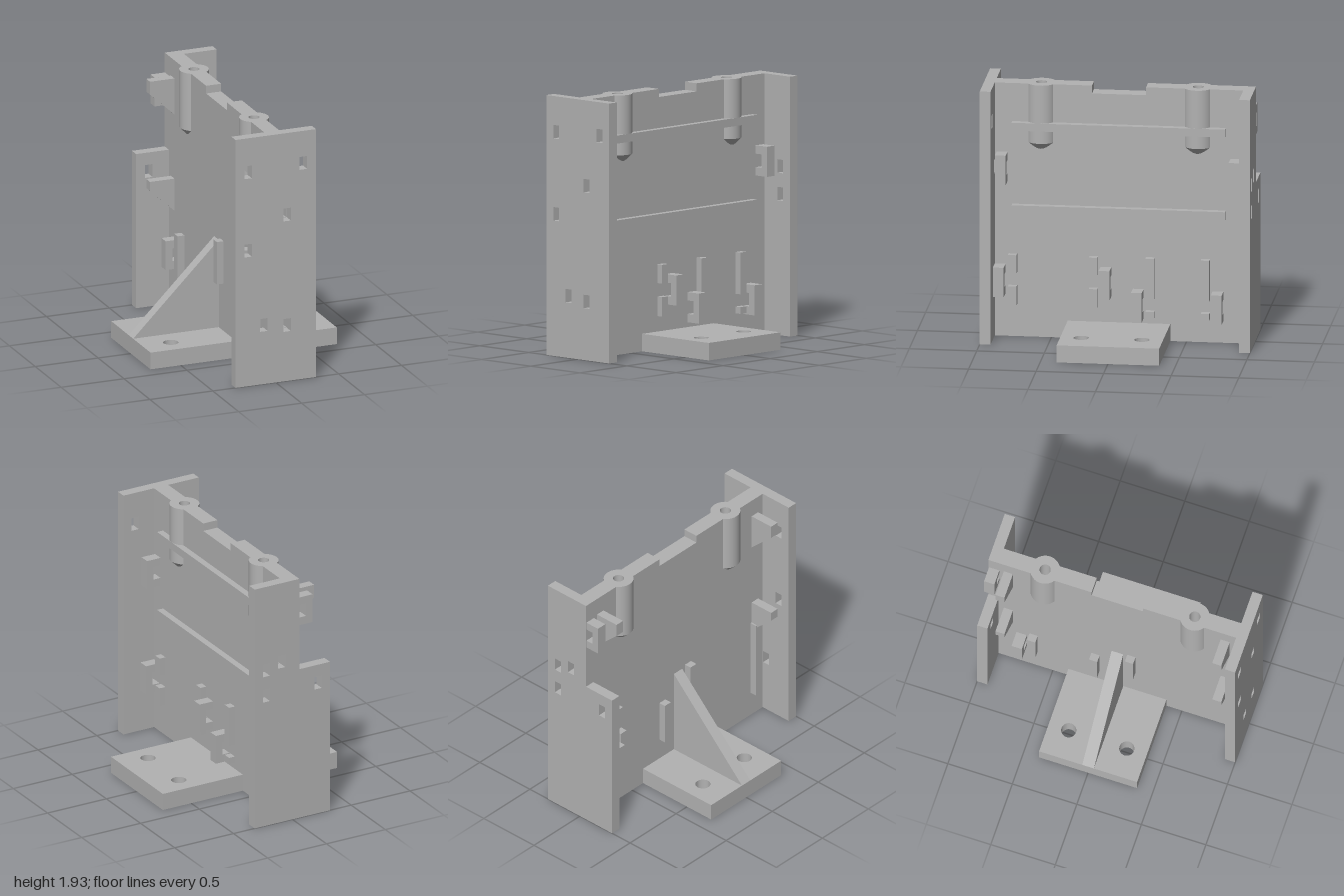
import * as THREE from 'three';

export function createModel() {
  const model = new THREE.Group();
  const grey = new THREE.MeshStandardMaterial({ color: 0xb2b2b2 });
  grey.name = 'plain grey';

  const add = (name, geometry) => {
    const mesh = new THREE.Mesh(geometry, grey);
    mesh.name = name;
    model.add(mesh);
    return mesh;
  };
  const block = (name, x0, x1, y0, y1, z0, z1) =>
    add(name, new THREE.BoxGeometry(x1 - x0, y1 - y0, z1 - z0)
      .translate((x0 + x1) / 2, (y0 + y1) / 2, (z0 + z1) / 2));
  const outline = (points) => new THREE.Shape(points.map(([x, y]) => new THREE.Vector2(x, y)));
  const extrude = (shape, depth) =>
    new THREE.ExtrudeGeometry(shape, { depth, bevelEnabled: false, curveSegments: 24 });
  // Prism with an x-y section, running from z0 to z1
  const prism = (name, shape, z0, z1) => add(name, extrude(shape, z1 - z0).translate(0, 0, z0));
  // Small rectangular window for cables
  const windowAt = (shape, x, y) => shape.holes.push(outline([
    [x - 0.03, y - 0.05], [x - 0.03, y + 0.05], [x + 0.03, y + 0.05], [x + 0.03, y - 0.05]]));

  // Web: z-y profile with top notch and slots for the two screw bosses
  const web = outline([
    [-0.93, 0], [0.93, 0], [0.93, 1.93], [0.67, 1.93], [0.67, 1.485], [0.49, 1.485], [0.49, 1.93],
    [0.2, 1.93], [0.2, 1.87], [-0.2, 1.87], [-0.2, 1.93], [-0.49, 1.93], [-0.49, 1.485],
    [-0.67, 1.485], [-0.67, 1.93], [-0.93, 1.93]]);
  add('web', extrude(web, 0.12).rotateY(-Math.PI / 2).translate(0.06, 0, 0));

  // Front flange
  const front = outline([[-0.32, 0], [0.32, 0], [0.32, 1.93], [-0.32, 1.93]]);
  [[-0.22, 1.665], [0.22, 1.68], [0.09, 1.295], [-0.22, 1.055], [-0.095, 0.46], [0.09, 0.435]]
    .forEach(([x, y]) => windowAt(front, x, y));
  prism('frontFlange', front, 0.92, 1);

  // Back flange, cut away above one side
  const back = outline([[-0.32, 0], [0.32, 0], [0.32, 1.93], [-0.06, 1.93], [-0.06, 1.2], [-0.32, 1.2]]);
  [[0.22, 1.255], [0.09, 1.295], [0.22, 1.05], [-0.22, 1.055]].forEach(([x, y]) => windowAt(back, x, y));
  prism('backFlange', back, -1, -0.92);

  // Base plate with four screw holes
  const base = outline([[-0.74, -0.38], [0.74, -0.38], [0.74, 0.38], [-0.74, 0.38]]);
  for (const x of [-0.515, 0.515]) for (const z of [-0.225, 0.225]) {
    base.holes.push(new THREE.Path().absarc(x, z, 0.056, 0, Math.PI * 2, true));
  }
  add('basePlate', extrude(base, 0.13).rotateX(-Math.PI / 2));

  // Triangular brace
  prism('gusset', outline([[-0.74, 0.13], [-0.05, 0.13], [-0.05, 0.82]]), -0.045, 0.045);

  // Screw bosses: conical foot, round wall and bore; each ring is its own sharp-edged band
  const bands = [
    [[0, 1.375], [0.11, 1.485]], [[0.11, 1.485], [0.11, 1.93]], [[0.11, 1.93], [0.041, 1.93]],
    [[0.041, 1.93], [0.041, 1.5]], [[0.041, 1.5], [0, 1.5]]];
  for (const z of [-0.58, 0.58]) for (const band of bands) {
    add('screwBoss', new THREE.LatheGeometry(band.map(([r, y]) => new THREE.Vector2(r, y)), 40))
      .position.z = z;
  }

  // Long ribs
  block('upperRib', 0.05, 0.11, 1.58, 1.64, -0.79, 0.79);
  block('lowerRib', 0.05, 0.11, 0.945, 1.01, -0.79, 0.79);

  // Cable loops: staples with an opening against the web
  const staple = (side, y, z) => {
    const points = [[0.05, -0.112], [0.175, -0.112], [0.175, 0.112], [0.05, 0.112],
      [0.05, 0.05], [0.12, 0.05], [0.12, -0.05], [0.05, -0.05]];
    prism('cableLoop', outline(points.map(([px, py]) => [side * px, y + py])), z - 0.04, z + 0.04);
  };
  [[1.293, 0.865], [1.293, -0.865], [0.437, 0.88], [0.437, 0.097], [0.278, -0.142], [0.278, -0.733]]
    .forEach(([y, z]) => staple(1, y, z));
  staple(-1, 1.665, -0.955);
  staple(-1, 0.46, -0.742);

  // Small guide blocks
  for (const z of [0.785, 0.187]) {
    block('guideBlock', 0.05, 0.11, 0.49, 0.63, z - 0.032, z + 0.032);
    block('guideBlock', 0.05, 0.11, 0.245, 0.39, z - 0.032, z + 0.032);
  }
  for (const z of [-0.232, -0.642]) {
    block('guideBlock', 0.05, 0.11, 0.325, 0.635, z - 0.032, z + 0.032);
    block('guideBlock', 0.05, 0.11, 0.18, 0.23, z - 0.032, z + 0.032);
  }
  [[0.3, 0.63, -0.65], [0.3, 0.63, -0.17], [0.5, 0.83, 0.108], [0.2, 0.83, 0.82]]
    .forEach(([y0, y1, z]) => block('guideBlock', -0.115, -0.05, y0, y1, z - 0.032, z + 0.032));

  // Chamfered brackets behind the flanges
  for (const z of [-0.845, 0.835]) for (const top of [1.79, 1.01]) {
    const drop = top > 1.5 ? 0.1 : 0.07;
    prism('bracket', outline([[-0.05, top], [-0.255, top], [-0.255, top - drop],
      [-0.05, top - drop - 0.19]]), z - 0.035, z + 0.035);
  }

  return model;
}
